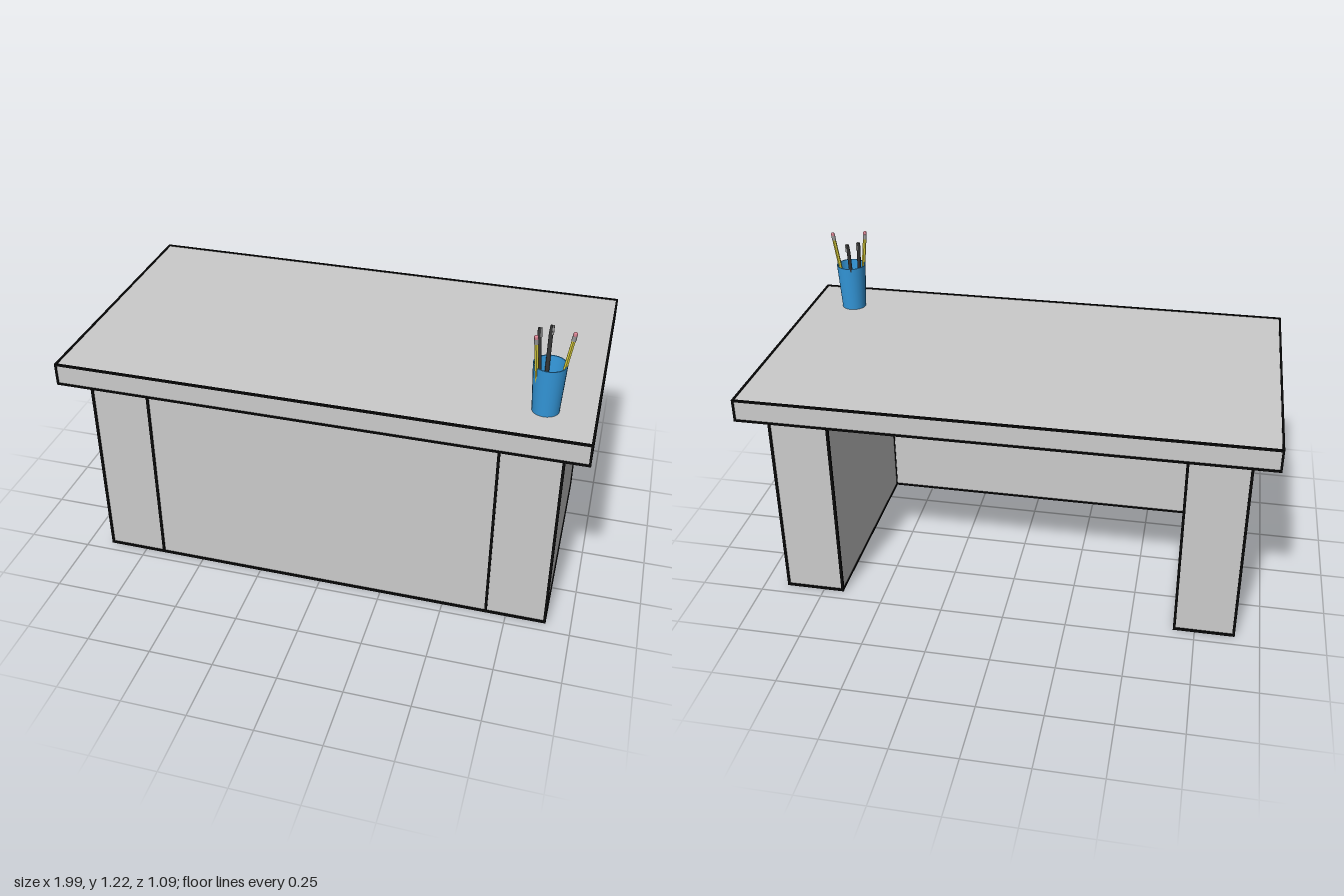
import * as THREE from 'three';

const UP = new THREE.Vector3(0, 1, 0);
const mat = (color, extra = {}) => new THREE.MeshStandardMaterial({ color, ...extra });
const grey = mat(0xcccccc);
const ink = mat(0x0a0a0a);
const blue = mat(0x3498db, { side: THREE.DoubleSide });
const yellow = mat(0xd9cc3c, { flatShading: true });
const metal = mat(0x999999);
const pink = mat(0xd98594);
const dark = mat(0x333333);

function add(parent, name, geometry, material) {
  const mesh = new THREE.Mesh(geometry, material);
  mesh.name = name;
  parent.add(mesh);
  return mesh;
}

// Box given by its lower and upper corners
function block(parent, name, a, b, material = grey) {
  const mesh = add(parent, name, new THREE.BoxGeometry(b[0] - a[0], b[1] - a[1], b[2] - a[2]), material);
  mesh.position.set((a[0] + b[0]) / 2, (a[1] + b[1]) / 2, (a[2] + b[2]) / 2);
  return mesh;
}

// Thin dark outline bar along one edge
function line(parent, a, b, t = 0.005) {
  block(parent, 'outline', a.map((v, i) => Math.min(v, b[i]) - t), a.map((v, i) => Math.max(v, b[i]) + t), ink);
}

// Outline all twelve edges of a box
function outlineBox(parent, a, b, t) {
  for (let axis = 0; axis < 3; axis++) {
    const u = (axis + 1) % 3, v = (axis + 2) % 3;
    for (const p of [a[u], b[u]]) for (const q of [a[v], b[v]]) {
      const s = [], e = [];
      s[axis] = a[axis]; e[axis] = b[axis];
      s[u] = e[u] = p;
      s[v] = e[v] = q;
      line(parent, s, e, t);
    }
  }
}

// Group whose local y axis runs from base to tip
function stick(parent, name, base, tip) {
  const g = new THREE.Group();
  g.name = name;
  const dir = new THREE.Vector3(...tip).sub(new THREE.Vector3(...base));
  g.userData.length = dir.length();
  g.position.set(...base);
  g.quaternion.setFromUnitVectors(UP, dir.normalize());
  parent.add(g);
  return g;
}

function rod(parent, name, radius, from, to, material, sides = 12) {
  add(parent, name, new THREE.CylinderGeometry(radius, radius, to - from, sides), material)
    .position.y = (from + to) / 2;
}

function pencil(parent, base, tip) {
  const g = stick(parent, 'pencil', base, tip), L = g.userData.length;
  rod(g, 'pencilBarrel', 0.0075, 0.02, L - 0.033, yellow, 6);
  rod(g, 'pencilFerrule', 0.008, L - 0.033, L - 0.013, metal);
  rod(g, 'pencilEraser', 0.0075, L - 0.013, L - 0.004, pink);
  const cap = add(g, 'eraserCap', new THREE.SphereGeometry(0.0075, 12, 6, 0, Math.PI * 2, 0, Math.PI / 2), pink);
  cap.position.y = L - 0.004;
  cap.scale.y = 0.6;
}

function pen(parent, base, tip) {
  const g = stick(parent, 'pen', base, tip), L = g.userData.length;
  rod(g, 'penBarrel', 0.0075, 0.01, L - 0.035, dark);
  add(g, 'penCap', new THREE.CylinderGeometry(0.005, 0.0075, 0.035, 12), dark).position.y = L - 0.0175;
  block(g, 'penClip', [0.004, L - 0.033, -0.006], [0.01, L, 0.006], metal);
}

export function createModel() {
  const model = new THREE.Group();
  model.name = 'desk';

  // Table top
  const topA = [-0.99, 0.825, -0.54], topB = [0.99, 0.907, 0.54];
  block(model, 'tableTop', topA, topB);
  outlineBox(model, topA, topB, 0.004);

  // Side pedestals
  const y0 = 0.01, y1 = 0.825, zb = -0.45, zf = 0.455, inner = 0.672, outer = 0.9;
  for (const s of [1, -1]) {
    const a = [Math.min(s * inner, s * outer), y0, zb];
    const b = [Math.max(s * inner, s * outer), y1, zf];
    block(model, s > 0 ? 'leftPedestal' : 'rightPedestal', a, b);
    for (const z of [zb, zf]) {
      for (const x of [inner, outer]) line(model, [s * x, y0, z], [s * x, y1 - 0.01, z]);
      for (const y of [y0, y1 - 0.011]) line(model, [s * inner, y, z], [s * outer, y, z]);
    }
    for (const y of [y0, y1 - 0.011]) line(model, [s * outer, y, zb], [s * outer, y, zf]);
    line(model, [s * inner, y0, zb], [s * inner, y0, 0.355], 0.004);
    line(model, [s * inner, y0, 0.355], [s * inner, y1 - 0.01, 0.355], 0.004);
  }

  // Modesty panel closing the front
  block(model, 'frontPanel', [-inner, y0, 0.355], [inner, y1, zf]);
  for (const y of [y0, y1 - 0.011]) line(model, [-inner, y, zf], [inner, y, zf]);
  line(model, [-inner, y0, 0.355], [inner, y0, 0.355], 0.004);

  // Pencil cup, open at the top
  const cup = new THREE.Group();
  cup.name = 'pencilCup';
  cup.position.set(0.81, 0.907, 0.36);
  model.add(cup);
  const profile = [[0, 0], [0.049, 0], [0.049, 0], [0.06, 0.188], [0.06, 0.188], [0.056, 0.188], [0.056, 0.188], [0.046, 0.008], [0.046, 0.008], [0, 0.008]];
  add(cup, 'cupWall', new THREE.LatheGeometry(profile.map(p => new THREE.Vector2(...p)), 32), blue);

  // Pencils and pens leaning on the rim
  pencil(cup, [-0.027, 0.008, 0.02], [-0.053, 0.318, 0.053]);
  pencil(cup, [0.025, 0.008, 0], [0.073, 0.322, 0.004]);
  pen(cup, [-0.025, 0.008, -0.01], [-0.053, 0.3, -0.037]);
  pen(cup, [-0.012, 0.008, -0.03], [-0.014, 0.3, -0.065]);
  return model;
}
